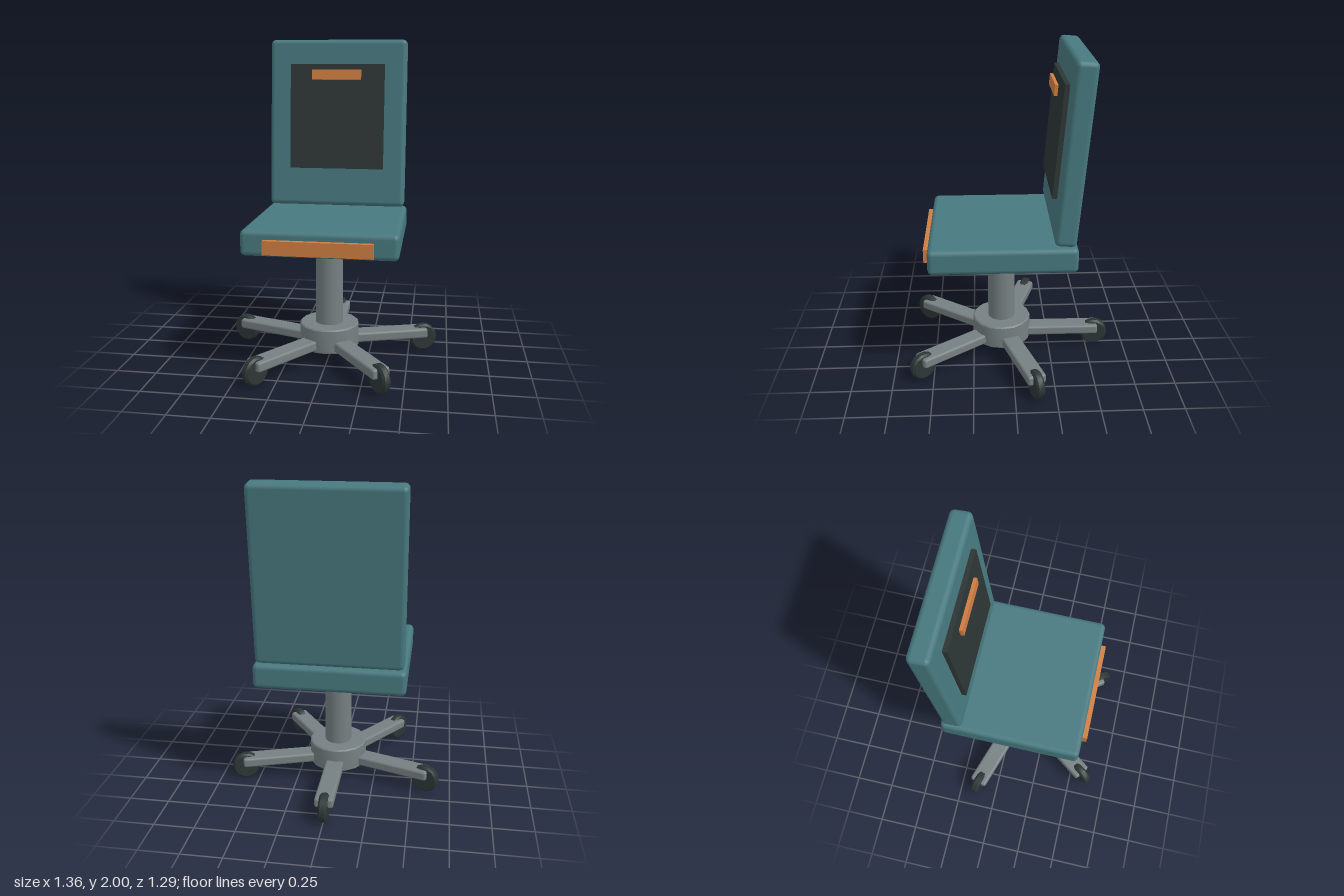
import * as THREE from 'three';
import { RoundedBoxGeometry } from 'three/addons/geometries/RoundedBoxGeometry.js';
import { toCreasedNormals } from 'three/addons/utils/BufferGeometryUtils.js';

const material = (name, color) => Object.assign(new THREE.MeshStandardMaterial({ color }), { name });

export function createModel() {
  const teal = material('teal upholstery', 0x47797f);
  const orange = material('orange trim', 0xcf7d42);
  const grey = material('grey metal', 0x768082);
  const dark = material('dark rubber', 0x2d3635);

  const chair = new THREE.Group();
  chair.name = 'officeChair';

  const add = (parent, name, geometry, mat, x, y, z) => {
    const mesh = new THREE.Mesh(geometry, mat);
    mesh.name = name;
    mesh.position.set(x, y, z);
    parent.add(mesh);
    return mesh;
  };
  const softBox = (w, h, d, r) => new RoundedBoxGeometry(w, h, d, 2, r);
  // Cylinder with bevelled rims, centred on the origin
  const bevelledCylinder = (r, h, b, sides) => toCreasedNormals(new THREE.LatheGeometry([
    [0, -h / 2], [r - b, -h / 2], [r, -h / 2 + b], [r, h / 2 - b], [r - b, h / 2], [0, h / 2],
  ].map(([x, y]) => new THREE.Vector2(x, y)), sides), 0.5);

  // Seat with front trim
  const axisZ = 0.064;
  add(chair, 'seat', softBox(0.92, 0.155, 0.885, 0.03), teal, 0, 0.837, axisZ);
  add(chair, 'seatTrim', new THREE.BoxGeometry(0.638, 0.084, 0.04), orange, 0, 0.822, 0.517);

  // Leaning backrest, its pad and the small tab in front of it
  const lean = -0.085;
  add(chair, 'backrest', softBox(0.89, 1.08, 0.13, 0.03), teal, 0, 1.458, -0.345).rotation.x = lean;
  add(chair, 'backPad', new THREE.BoxGeometry(0.61, 0.675, 0.03), dark, 0, 1.508, -0.27).rotation.x = lean;
  add(chair, 'backTab', new THREE.BoxGeometry(0.315, 0.065, 0.02), orange, 0, 1.778, -0.251).rotation.x = lean;

  // Column and hub
  add(chair, 'column', new THREE.CylinderGeometry(0.087, 0.087, 0.6, 16), grey, 0, 0.48, axisZ);
  add(chair, 'hub', bevelledCylinder(0.188, 0.155, 0.008, 16), grey, 0, 0.157, axisZ);

  // Five legs with casters; the first points to the back
  const legGeometry = softBox(0.116, 0.063, 0.56, 0.015);
  const wheelGeometry = bevelledCylinder(0.088, 0.054, 0.012, 14);
  wheelGeometry.rotateZ(Math.PI / 2);
  for (let i = 0; i < 5; i++) {
    const spoke = new THREE.Group();
    spoke.name = 'spoke' + (i + 1);
    spoke.position.z = axisZ;
    spoke.rotation.y = (i * Math.PI * 2) / 5;
    add(spoke, 'leg', legGeometry, grey, 0, 0.125, -0.36);
    add(spoke, 'caster', wheelGeometry, dark, 0, 0.089, -0.62);
    chair.add(spoke);
  }
  return chair;
}
